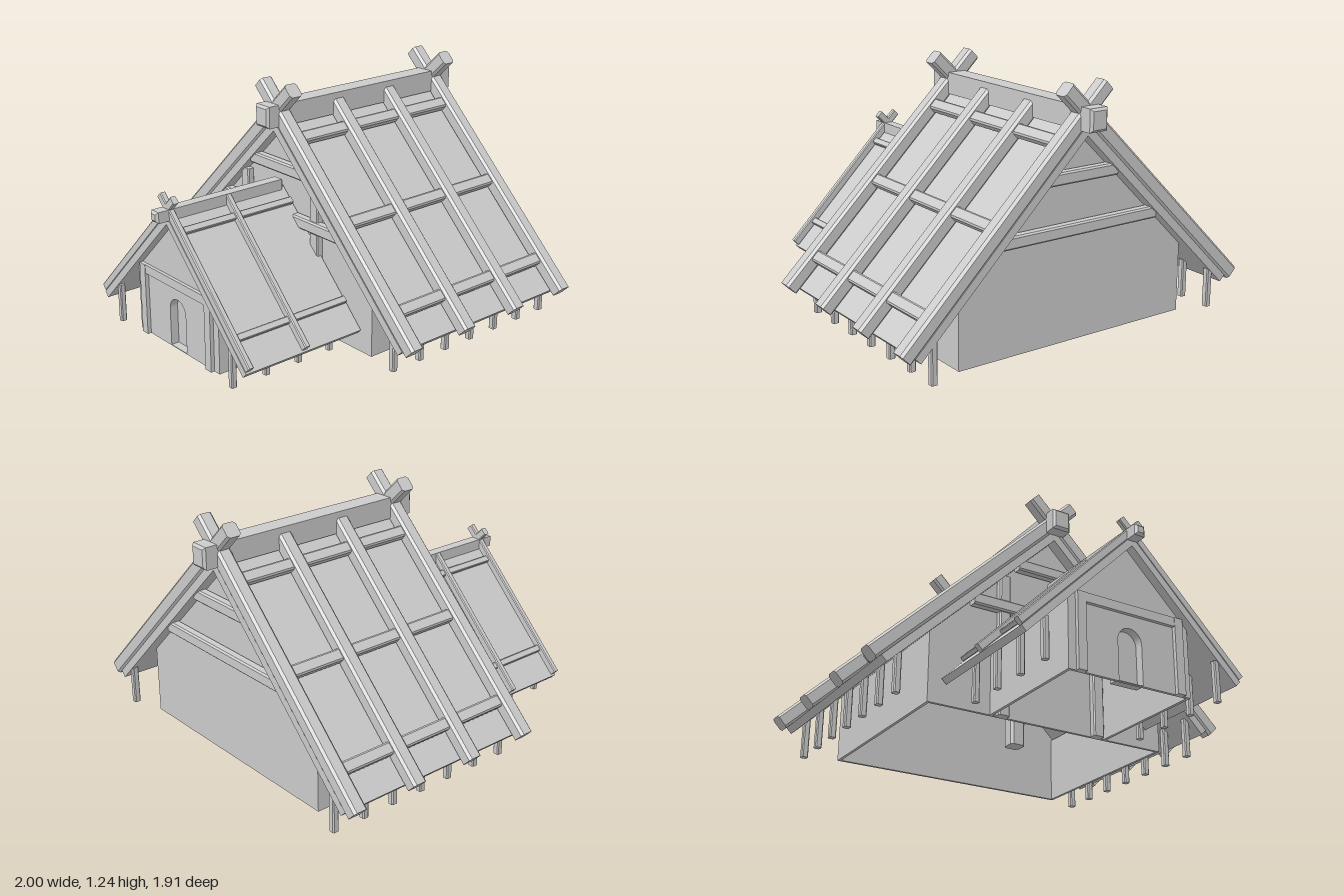
import * as THREE from 'three';

const mat = new THREE.MeshStandardMaterial({ color: 0xcccccc, flatShading: true, side: THREE.DoubleSide });

function add(parent, name, geo, x = 0, y = 0, z = 0) {
  const m = new THREE.Mesh(geo, mat);
  m.name = name;
  m.position.set(x, y, z);
  parent.add(m);
  return m;
}

const polygon = pts => new THREE.Shape(pts.map(p => new THREE.Vector2(...p)));
const extrude = (shape, depth) => new THREE.ExtrudeGeometry(shape, { depth, bevelEnabled: false, curveSegments: 10 });

// Timber with chamfered long edges, centred, running along 'x', 'y' or 'z'
function timber(w, h, length, axis = 'z') {
  const a = w / 2, b = h / 2, c = Math.min(w, h) * 0.16;
  const g = extrude(polygon([[a - c, -b], [a, -b + c], [a, b - c], [a - c, b],
    [-a + c, b], [-a, b - c], [-a, -b + c], [-a + c, -b]]), length);
  g.translate(0, 0, -length / 2);
  if (axis === 'x') g.rotateY(Math.PI / 2);
  if (axis === 'y') g.rotateX(Math.PI / 2);
  return g;
}

// Ridge beam with chamfered ends
function ridgeBeam(w, h, length) {
  const c = 0.012, a = w / 2 - c, b = h / 2 - c;
  const g = new THREE.ExtrudeGeometry(polygon([[-a, -b], [a, -b], [a, b], [-a, b]]),
    { depth: length - 2 * c, bevelEnabled: true, bevelThickness: c, bevelSize: c, bevelSegments: 1 });
  return g.translate(0, 0, -length / 2 + c);
}

// Gabled roof: slab, rafters, purlins and ridge
function buildRoof(o) {
  const roof = new THREE.Group();
  roof.name = o.name;
  const angle = Math.atan(o.slope), cos = Math.cos(angle), sin = Math.sin(angle);
  const t = o.slab, u = o.slabLength;
  const ex = u * cos, ey = o.apex - u * sin;
  const slab = polygon([[0, o.apex], [-ex, ey], [-ex + t * sin, ey - t * cos],
    [0, o.apex - t / cos], [ex - t * sin, ey - t * cos], [ex, ey]]);
  add(roof, 'roofSlab', extrude(slab, o.z1 - o.z0), 0, 0, o.z0);
  for (const s of [1, -1]) {
    // local x runs along the slope, local y is normal to it
    const side = new THREE.Group();
    side.name = s > 0 ? 'leftSlope' : 'rightSlope';
    side.position.y = o.apex;
    side.rotation.z = -s * angle;
    roof.add(side);
    for (const [z, crossed] of o.rafters) {
      const start = crossed ? o.crossStart : 0, len = o.rafterEnd - start;
      add(side, crossed ? 'crossedRafter' : 'rafter', timber(o.rafterW, o.rafterH, len, 'x'),
        s * (start + len / 2), o.rafterH / 2, z);
    }
    for (const p of o.purlins) {
      const len = o.z1 - o.z0 - 0.02;
      add(side, 'purlin', timber(o.purlinW, o.purlinH, len), s * p, o.purlinY, (o.z0 + o.z1) / 2);
    }
  }
  const [y0, y1, r0, r1] = o.ridge;
  add(roof, 'ridgeBeam', ridgeBeam(o.ridgeW, y1 - y0, r1 - r0), 0, (y0 + y1) / 2, (r0 + r1) / 2);
  return roof;
}

// Pentagonal gable wall outline
const gable = (hw, side, top) => polygon([[-hw, 0], [hw, 0], [hw, side], [0, top], [-hw, side]]);

export function createModel() {
  const model = new THREE.Group();
  model.name = 'longhouse';

  model.add(buildRoof({
    name: 'hallRoof', slope: 0.975, apex: 1.05, slab: 0.04, slabLength: 1.292, z0: -0.875, z1: 0.24,
    rafters: [[-0.845, true], [-0.495, false], [-0.145, false], [0.208, true]],
    rafterW: 0.075, rafterH: 0.075, rafterEnd: 1.324, crossStart: -0.198,
    purlins: [0.147, 0.636, 1.12], purlinW: 0.06, purlinH: 0.05, purlinY: 0.033,
    ridge: [1.025, 1.135, -0.955, 0.315], ridgeW: 0.1,
  }));
  model.add(buildRoof({
    name: 'porchRoof', slope: 1, apex: 0.715, slab: 0.035, slabLength: 0.84, z0: 0.19, z1: 0.885,
    rafters: [[0.87, true], [0.54, false]],
    rafterW: 0.03, rafterH: 0.04, rafterEnd: 0.83, crossStart: -0.096,
    purlins: [0.108, 0.673], purlinW: 0.035, purlinH: 0.025, purlinY: 0.0125,
    ridge: [0.69, 0.745, 0.2, 0.955], ridgeW: 0.056,
  }));

  // Hall walls, open below
  const hall = new THREE.Group();
  hall.name = 'hallWalls';
  model.add(hall);
  add(hall, 'backWall', extrude(gable(0.66, 0.35, 0.993), 0.015), 0, 0, -0.81);
  add(hall, 'frontWall', extrude(gable(0.66, 0.35, 0.993), 0.015), 0, 0, 0.165);
  for (const s of [1, -1])
    add(hall, 'sideWall', new THREE.BoxGeometry(0.015, 0.35, 0.96), s * 0.6525, 0.175, -0.315);
  add(hall, 'innerPost', timber(0.08, 0.08, 0.33, 'y'), 0, 0.165, -0.14);

  // Gable framing
  for (const z of [-0.835, 0.205]) {
    add(hall, 'lowerTieBeam', timber(0.05, 0.06, 0.9, 'x'), 0, 0.56, z);
    add(hall, 'upperTieBeam', timber(0.05, 0.06, 0.4, 'x'), 0, 0.81, z);
  }
  for (const s of [1, -1])
    add(hall, 'gablePost', timber(0.06, 0.04, 0.73, 'y'), s * 0.27, 0.365, 0.195);

  // Porch walls with arched doorway
  const porch = new THREE.Group();
  porch.name = 'porchWalls';
  model.add(porch);
  const arch = (r, Type) => {
    const p = new Type();
    p.moveTo(-r, 0.004);
    p.lineTo(r, 0.004);
    p.lineTo(r, 0.2);
    p.absarc(0, 0.2, r, 0, Math.PI, false);
    p.lineTo(-r, 0.004);
    return p;
  };
  const front = gable(0.33, 0.335, 0.663);
  front.holes.push(arch(0.065, THREE.Path));
  add(porch, 'frontWall', extrude(front, 0.015), 0, 0, 0.825);
  const reveal = arch(0.072, THREE.Shape);
  reveal.holes.push(arch(0.065, THREE.Path));
  add(porch, 'doorReveal', extrude(reveal, 0.045), 0, 0, 0.78);
  add(porch, 'door', extrude(arch(0.067, THREE.Shape), 0.012), 0, 0, 0.785);
  for (const s of [1, -1]) {
    add(porch, 'sideWall', new THREE.BoxGeometry(0.015, 0.335, 0.66), s * 0.3225, 0.1675, 0.505);
    add(porch, 'doorPost', new THREE.BoxGeometry(0.045, 0.375, 0.03), s * 0.2675, 0.1875, 0.845);
  }
  add(porch, 'lintel', new THREE.BoxGeometry(0.49, 0.045, 0.025), 0, 0.3525, 0.845);

  // Eave posts
  for (const s of [1, -1]) {
    for (let i = 0; i < 7; i++)
      add(model, 'hallEavePost', timber(0.033, 0.033, 0.2, 'y'), s * 0.825, 0.1, 0.195 - i * 0.175);
    for (let i = 0; i < 4; i++)
      add(model, 'porchEavePost', timber(0.03, 0.03, 0.2, 'y'), s * 0.465, 0.1, 0.865 - i * 0.195);
  }
  return model;
}
